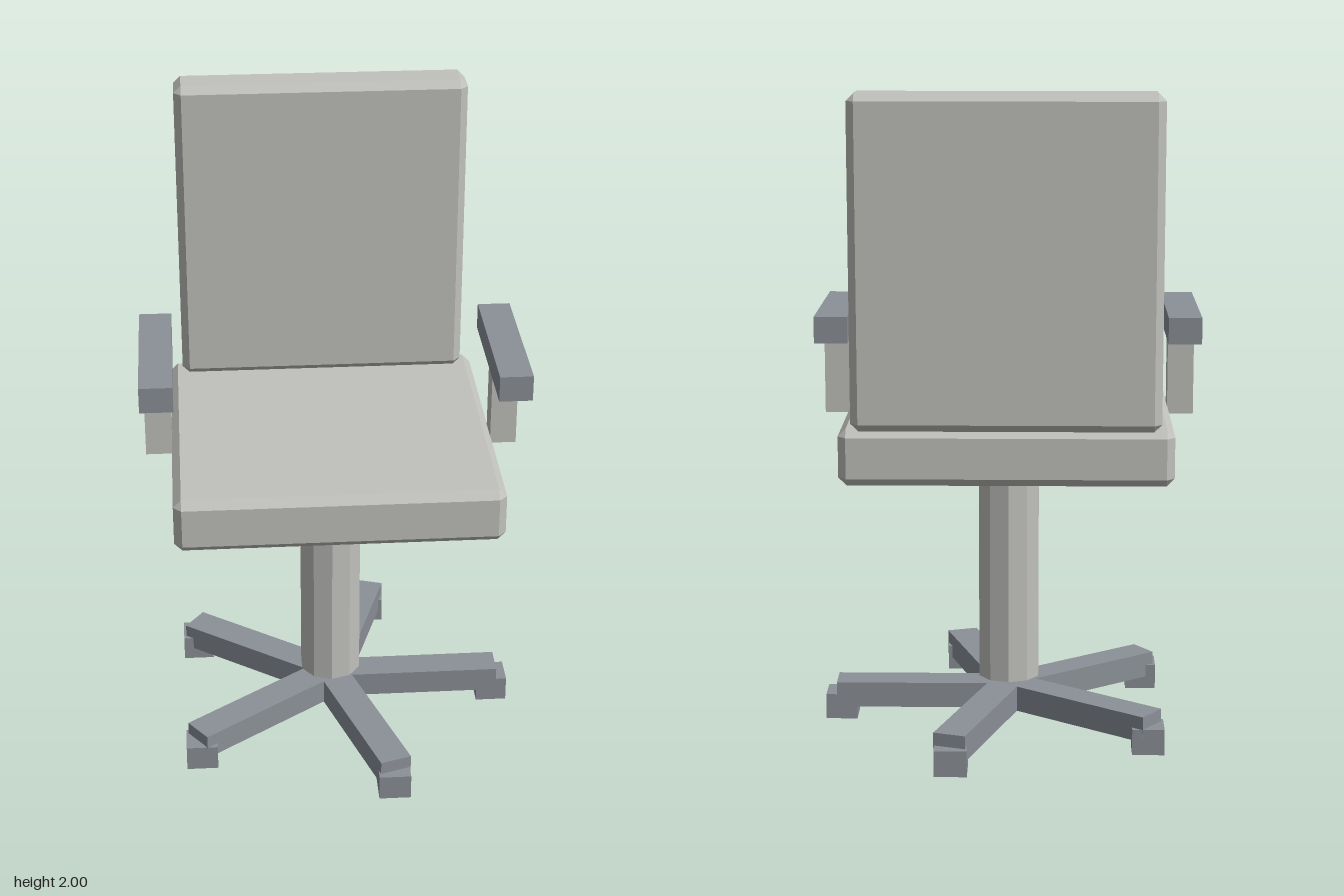
import * as THREE from 'three';
import { ConvexGeometry } from 'three/addons/geometries/ConvexGeometry.js';

// Box with flat chamfers on every edge: three corner points per box corner
function chamferBox(w, h, d, c) {
  const points = [];
  for (const sx of [-1, 1]) for (const sy of [-1, 1]) for (const sz of [-1, 1]) {
    const x = w / 2, y = h / 2, z = d / 2;
    points.push(
      new THREE.Vector3(sx * x, sy * (y - c), sz * (z - c)),
      new THREE.Vector3(sx * (x - c), sy * y, sz * (z - c)),
      new THREE.Vector3(sx * (x - c), sy * (y - c), sz * z)
    );
  }
  return new ConvexGeometry(points);
}

export function createModel() {
  const chair = new THREE.Group();
  chair.name = 'officeChair';

  const lightGrey = new THREE.MeshStandardMaterial({ color: 0xc0c0bc, flatShading: true });
  lightGrey.name = 'light grey';
  const darkGrey = new THREE.MeshStandardMaterial({ color: 0x8b9097, flatShading: true });
  darkGrey.name = 'dark grey';

  function add(name, geometry, material, x, y, z, parent = chair) {
    const mesh = new THREE.Mesh(geometry, material);
    mesh.name = name;
    mesh.position.set(x, y, z);
    parent.add(mesh);
    return mesh;
  }

  // Cushions
  add('seat', chamferBox(0.982, 0.17, 0.942, 0.024), lightGrey, 0, 0.945, -0.002);
  add('backrest', chamferBox(0.902, 0.972, 0.137, 0.023), lightGrey, 0, 1.514, -0.434);

  // Ten-sided column
  add('column', new THREE.CylinderGeometry(0.098, 0.098, 0.71, 10), lightGrey, 0, 0.495, 0);

  // Armrests, one on each side
  for (const [side, s] of [['left', 1], ['right', -1]]) {
    const arm = new THREE.Group();
    arm.name = side + 'Arm';
    chair.add(arm);
    add('armPost', new THREE.BoxGeometry(0.08, 0.26, 0.08), lightGrey, s * 0.53, 1.115, 0.037, arm);
    add('armPad', new THREE.BoxGeometry(0.1, 0.08, 0.51), darkGrey, s * 0.53, 1.28, 0.037, arm);
  }

  // Star base: five legs from the centre, each with a square foot
  const base = new THREE.Group();
  base.name = 'starBase';
  chair.add(base);
  const legLength = 0.545, footRadius = 0.53;
  for (let i = 0; i < 5; i++) {
    const a = (i * Math.PI * 2) / 5;
    const cos = Math.cos(a), sin = Math.sin(a);
    const leg = add('baseLeg', new THREE.BoxGeometry(legLength, 0.08, 0.1), darkGrey,
      cos * legLength / 2, 0.08, sin * legLength / 2, base);
    leg.rotation.y = -a;
    add('foot', new THREE.BoxGeometry(0.098, 0.08, 0.098), darkGrey,
      cos * footRadius, 0.04, sin * footRadius, base);
  }

  return chair;
}
